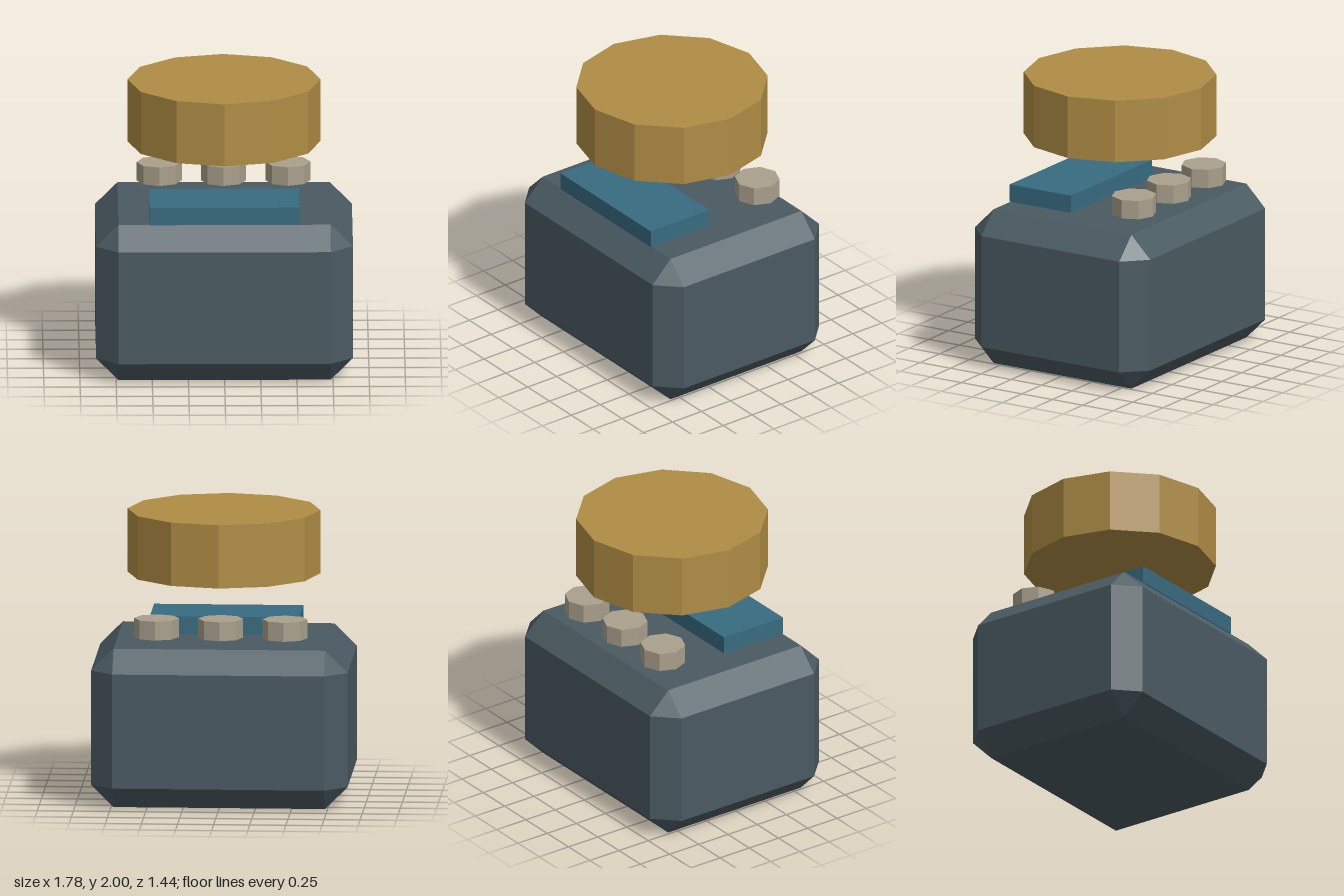
import * as THREE from 'three';
import { ConvexGeometry } from 'three/addons/geometries/ConvexGeometry.js';

const flat = (color) => new THREE.MeshStandardMaterial({ color, flatShading: true });

function addPart(parent, name, geometry, material, x, y, z) {
  const mesh = new THREE.Mesh(geometry, material);
  mesh.name = name;
  mesh.position.set(x, y, z);
  parent.add(mesh);
  return mesh;
}

// Box with every edge cut at 45 degrees and triangular corners
function chamferedBox(w, h, d, c) {
  const points = [];
  for (const sx of [-1, 1]) for (const sy of [-1, 1]) for (const sz of [-1, 1]) {
    const x = w / 2, y = h / 2, z = d / 2;
    points.push(
      new THREE.Vector3(sx * x, sy * (y - c), sz * (z - c)),
      new THREE.Vector3(sx * (x - c), sy * y, sz * (z - c)),
      new THREE.Vector3(sx * (x - c), sy * (y - c), sz * z)
    );
  }
  return new ConvexGeometry(points);
}

export function createModel() {
  const model = new THREE.Group();
  model.name = 'device';

  // Chamfered body
  addPart(model, 'body', chamferedBox(1.776, 1.11, 1.444, 0.155), flat(0x4a5a62), 0, 0.555, 0);

  // Raised panel at the front of the top
  addPart(model, 'topPanel', new THREE.BoxGeometry(1.034, 0.124, 0.505), flat(0x386b80), 0, 1.172, 0.321);

  // Row of octagonal buttons at the back
  const buttons = new THREE.Group();
  buttons.name = 'buttons';
  model.add(buttons);
  const buttonGeometry = new THREE.CylinderGeometry(0.156, 0.156, 0.132, 8);
  const buttonMaterial = flat(0xaaa08c);
  [-0.445, 0, 0.445].forEach((x, i) =>
    addPart(buttons, `button${i + 1}`, buttonGeometry, buttonMaterial, x, 1.234, -0.402));

  // Twelve-sided cap floating above the body
  addPart(model, 'cap', new THREE.CylinderGeometry(0.667, 0.667, 0.444, 12), flat(0xb08d45), 0, 1.778, 0);

  return model;
}
